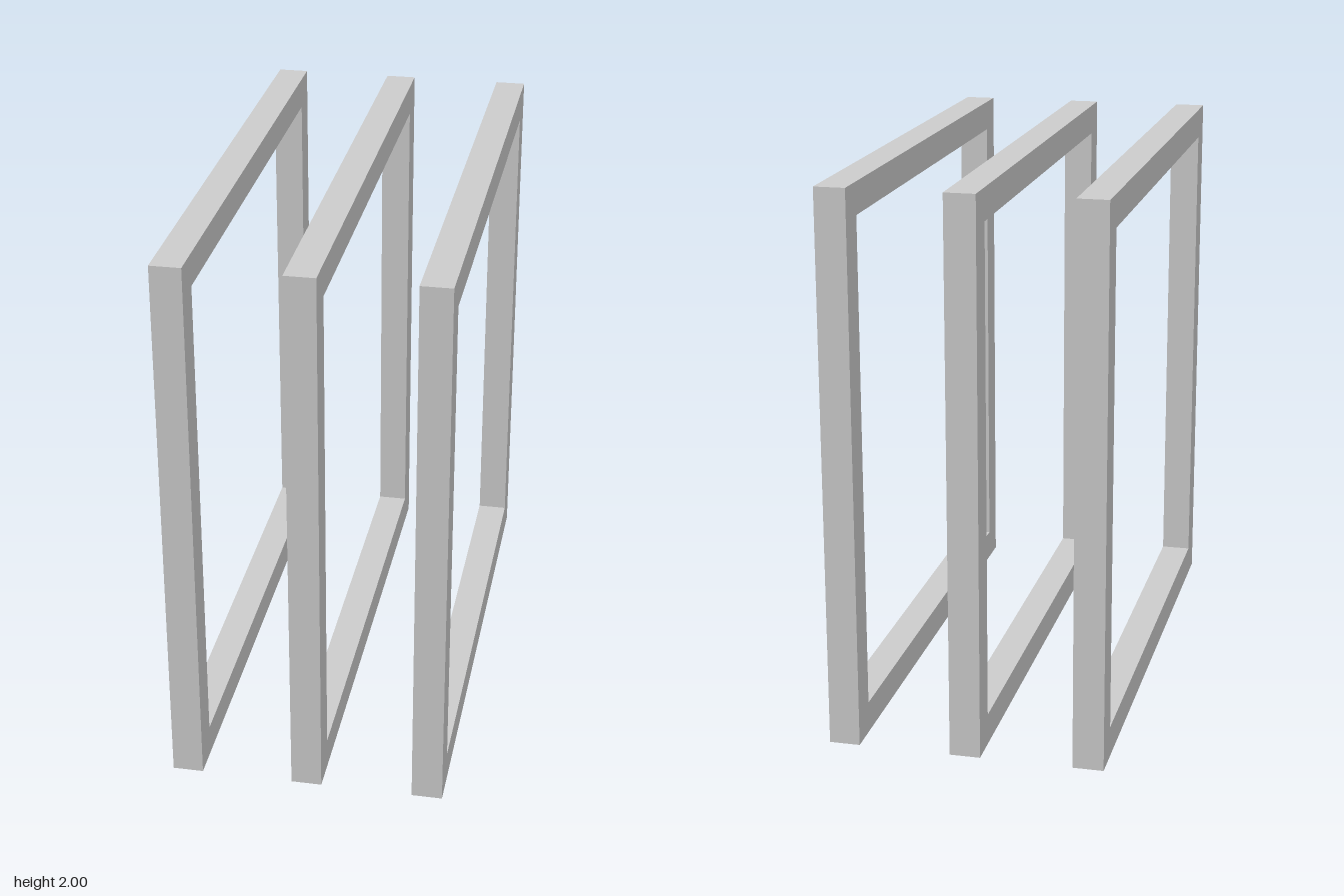
import * as THREE from 'three';

const HALF = 1;         // half the side of each square frame
const BAR = 0.113;      // bar width seen from the side
const THICK = 0.11;     // bar thickness along x
const SPACING = 0.44;   // distance between frame centres

function squarePath(path, h) {
  path.moveTo(-h, -h);
  path.lineTo(h, -h);
  path.lineTo(h, h);
  path.lineTo(-h, h);
  path.closePath();
  return path;
}

export function createModel() {
  const model = new THREE.Group();
  model.name = 'squareFrames';
  const material = new THREE.MeshStandardMaterial({ color: 0xcccccc });

  // Square outline with a square opening, extruded and turned to face sideways
  const outline = squarePath(new THREE.Shape(), HALF);
  outline.holes.push(squarePath(new THREE.Path(), HALF - BAR));
  const geometry = new THREE.ExtrudeGeometry(outline, { depth: THICK, bevelEnabled: false });
  geometry.translate(0, 0, -THICK / 2);
  geometry.rotateY(Math.PI / 2);

  // Three identical parallel frames
  ['rightFrame', 'middleFrame', 'leftFrame'].forEach((name, i) => {
    const frame = new THREE.Mesh(geometry, material);
    frame.name = name;
    frame.position.set((i - 1) * SPACING, HALF, 0);
    model.add(frame);
  });

  return model;
}
